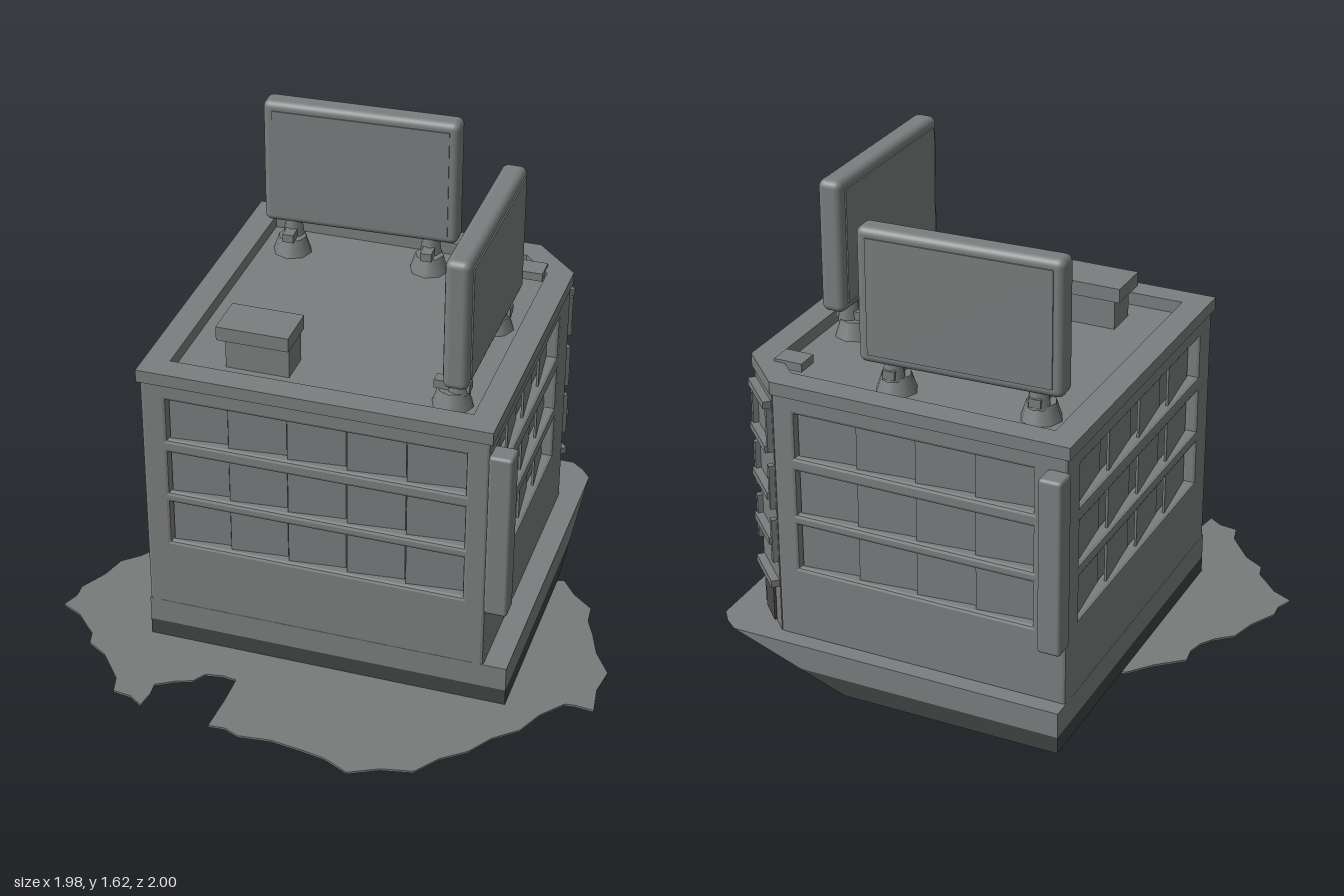
import * as THREE from 'three';
import { RoundedBoxGeometry } from 'three/addons/geometries/RoundedBoxGeometry.js';

const mat = (name, color, side = THREE.FrontSide) => {
  const m = new THREE.MeshStandardMaterial({ color, side });
  m.name = name;
  return m;
};
const W = 1.19, D = 1.2, T = 0.05; // wall width, depth, facade thickness

export function createModel() {
  const concrete = mat('concrete', 0x7b7d7e);
  const paving = mat('paving', 0x797b7b, THREE.DoubleSide);
  const dark = mat('darkFoundation', 0x414242, THREE.DoubleSide);
  const darkGlass = mat('darkGlass', 0x4a494d);

  const model = new THREE.Group();
  model.name = 'officeBuilding';
  // The building is turned; inside it x runs along the front wall and -z along the side wall
  const building = new THREE.Group();
  building.name = 'building';
  building.position.set(-0.74, 0, 0.03);
  building.rotation.y = -0.617;
  model.add(building);

  const add = (parent, name, geo, material, x = 0, y = 0, z = 0, ry = 0) => {
    const m = new THREE.Mesh(geo, material);
    m.name = name;
    m.position.set(x, y, z);
    m.rotation.y = ry;
    parent.add(m);
    return m;
  };
  const box = (w, h, d) => new THREE.BoxGeometry(w, h, d);
  const toShape = (pts) => new THREE.Shape(pts.map(([x, y]) => new THREE.Vector2(x, y)));
  // Upright prism from a plan outline
  const prism = (pts, y0, y1, hole) => {
    const s = toShape(pts);
    if (hole) s.holes.push(toShape(hole));
    return new THREE.ExtrudeGeometry(s, { depth: y1 - y0, bevelEnabled: false })
      .rotateX(-Math.PI / 2).translate(0, y0, 0);
  };

  // Ragged pavement sheet
  const edge = [[-0.33, -0.57], [-0.55, -0.53], [-0.62, -0.44], [-0.75, -0.41], [-0.92, -0.3],
    [-1, -0.22], [-0.95, -0.08], [-0.96, 0.02], [-0.92, 0.18], [-0.94, 0.3], [-0.87, 0.4], [-0.8, 0.31],
    [-0.67, 0.33], [-0.62, 0.31], [-0.53, 0.37], [-0.68, 0.57], [-0.6, 0.65], [-0.42, 0.78],
    [-0.31, 0.93], [-0.1, 0.99], [0.1, 0.95], [0.3, 0.9], [0.49, 0.82], [0.57, 0.88], [0.69, 0.71],
    [0.72, 0.5], [0.77, 0.36], [0.74, 0.18], [0.5, 0.08], [0.2, -0.15], [0, -0.42]];
  const outline = [];
  edge.forEach(([x, z], i) => {
    const [nx, nz] = edge[(i + 1) % edge.length];
    outline.push([x, -z]);
    // small notch halfway along each stretch
    outline.push([(x + nx) / 2 * 0.985, -(z + nz) / 2 * 0.985]);
  });
  add(model, 'pavement', prism(outline, 0, 0.008), paving);

  // Plinth with an undercut corner: dark foot, pale upper band
  const top = [[0, 0], [1.27, 0], [1.27, 1.18], [1.235, 1.225], [1.19, 1.26], [0, 1.26]];
  const foot = [[0, 0], [1.27, 0], [1.27, 0.74], [1.126, 1.02], [0.773, 1.26], [0, 1.26]];
  const mid = top.map((p, i) => p.map((c, k) => foot[i][k] + (c - foot[i][k]) * 0.4));
  const pale = [], shade = [];
  const quad = (out, lo, y0, hi, y1, i) => {
    const j = (i + 1) % lo.length;
    const a = [lo[i][0], y0, -lo[i][1]], b = [lo[j][0], y0, -lo[j][1]];
    const c = [hi[j][0], y1, -hi[j][1]], d = [hi[i][0], y1, -hi[i][1]];
    out.push(...a, ...b, ...c, ...a, ...c, ...d);
  };
  for (let i = 0; i < top.length; i++) {
    quad(shade, foot, 0.01, mid, 0.07, i);
    quad(i === 2 || i === 3 ? shade : pale, mid, 0.07, top, 0.16, i);
  }
  for (let i = 1; i < top.length - 1; i++) {
    for (const k of [0, i, i + 1]) pale.push(top[k][0], 0.16, -top[k][1]);
    for (const k of [0, i + 1, i]) shade.push(foot[k][0], 0.01, -foot[k][1]);
  }
  [['plinthBand', pale, concrete], ['plinthFoot', shade, dark]].forEach(([name, pts, m]) => {
    const g = new THREE.BufferGeometry();
    g.setAttribute('position', new THREE.Float32BufferAttribute(pts, 3));
    g.computeVertexNormals();
    add(building, name, g, m);
  });

  // Core block behind the facades, with the cut corner exposed
  add(building, 'core', prism([[T, T], [W - T, T], [W - T, 1], [W - 0.003, 1.05], [1.04, D - 0.003],
    [1, D - T], [T, D - T]], 0.16, 1.045), concrete);

  // Facade with three window bands above and separate ground-floor openings
  const rows = [[0.42, 0.58], [0.62, 0.78], [0.83, 0.985]];
  const facade = (name, len, x0, x1, cols, doors, x, z, ry) => {
    const g = new THREE.Group();
    g.name = name;
    g.position.set(x, 0, z);
    g.rotation.y = ry;
    building.add(g);
    const rect = (a, b, c, d) => [[a, c], [b, c], [b, d], [a, d]];
    const wall = toShape(rect(0, len, 0.15, 1.06));
    rows.forEach(([a, b]) => wall.holes.push(toShape(rect(x0, x1, a, b))));
    const pitch = (x1 - x0) / doors, dw = pitch * 0.62;
    for (let i = 0; i < doors; i++) {
      const a = x0 + pitch * i + (pitch - dw) * (i / Math.max(1, doors - 1));
      wall.holes.push(toShape(rect(a, a + dw, 0.17, 0.325)));
      add(g, 'groundWindow', box(dw + 0.01, 0.165, 0.008), darkGlass, a + dw / 2, 0.247, -T + 0.004);
    }
    const b = 0.012;
    add(g, 'wall', new THREE.ExtrudeGeometry(wall, {
      depth: T - 2 * b, bevelThickness: b, bevelSize: b, bevelOffset: -b, bevelSegments: 2,
    }).translate(0, 0, b - T), concrete);
    // Slightly turned panes give each band a saw-tooth rhythm
    const pw = (x1 - x0) / cols;
    rows.forEach(([lo, hi]) => {
      for (let i = 0; i < cols; i++) {
        add(g, 'windowPane', box(pw - 0.008, hi - lo + 0.02, 0.008), concrete,
          x0 + pw * (i + 0.5), (lo + hi) / 2, -0.034, 0.11);
      }
    });
  };
  facade('frontFacade', W, 0.09, 1.11, 5, 4, 0, 0, 0);
  facade('rightFacade', 1.05, 0.08, 0.9, 4, 3, W, 0, Math.PI / 2);
  facade('backFacade', 1.04, 0.08, 0.92, 4, 3, 1.04, -D, Math.PI);
  facade('leftFacade', D, 0.1, 1.1, 4, 3, 0, -D, -Math.PI / 2);

  // Ledges and small windows on the cut corner
  const corner = new THREE.Group();
  corner.name = 'cutCorner';
  corner.position.set((W + 1.04) / 2, 0, -(1.05 + D) / 2);
  corner.rotation.y = Math.PI * 0.75;
  building.add(corner);
  for (const y of [0.335, 0.5, 0.67, 0.84, 1.0]) {
    add(corner, 'ledge', box(0.19, 0.025, 0.035), concrete, 0, y, 0.008);
  }
  for (const [lo, hi] of rows) {
    for (const s of [-1, 1]) add(corner, 'cornerPier', box(0.02, hi - lo, 0.025), concrete, s * 0.09, (lo + hi) / 2, 0.004);
  }
  add(corner, 'cornerDoor', box(0.1, 0.13, 0.008), darkGlass, 0, 0.235, 0.004);

  // Roof parapet
  const o = 0.008;
  add(building, 'parapet', prism([[-o, -o], [W + o, -o], [W + o, 1.05], [1.04, D + o], [-o, D + o]], 1.045, 1.09,
    [[0.08, 0.08], [W - 0.08, 0.08], [W - 0.08, 1.02], [1.01, D - 0.08], [0.08, D - 0.08]]), concrete);

  // Upright blade signs at two corners
  for (const [x, z] of [[W + 0.035, -0.03], [0.03, -D - 0.035]]) {
    add(building, 'bladeSign', new RoundedBoxGeometry(0.08, 0.62, 0.08, 2, 0.012), concrete, x, 0.69, z);
  }

  // Rooftop billboards on lumpy feet
  const billboard = (name, x, z, ry) => {
    const g = new THREE.Group();
    g.name = name;
    g.position.set(x, 0, z);
    g.rotation.y = ry;
    building.add(g);
    add(g, 'board', new RoundedBoxGeometry(0.7, 0.465, 0.085, 3, 0.025), concrete, 0, 1.388, 0);
    for (const s of [-1, 1]) add(g, 'screen', box(0.63, 0.4, 0.008), concrete, 0, 1.388, s * 0.043);
    for (const s of [-1, 1]) {
      add(g, 'foot', new THREE.CylinderGeometry(0.05, 0.07, 0.06, 8), concrete, s * 0.25, 1.075, -0.03);
      add(g, 'bracket', new THREE.CylinderGeometry(0.03, 0.04, 0.07, 8), concrete, s * 0.25, 1.13, -0.01);
      add(g, 'brace', box(0.04, 0.03, 0.12), concrete, s * 0.25, 1.12, -0.03);
    }
  };
  billboard('backBillboard', 0.44, -1.02, Math.PI + 0.04);
  billboard('rightBillboard', 1.04, -0.44, Math.PI / 2);

  // Roof hut with an overhanging lid, and a small vent
  add(building, 'roofHut', box(0.22, 0.12, 0.12), concrete, 0.35, 1.1, -0.23);
  add(building, 'roofHutLid', box(0.25, 0.05, 0.16), concrete, 0.34, 1.18, -0.23);
  add(building, 'roofVent', box(0.1, 0.03, 0.08), concrete, 1.05, 1.085, -1.03);

  return model;
}
